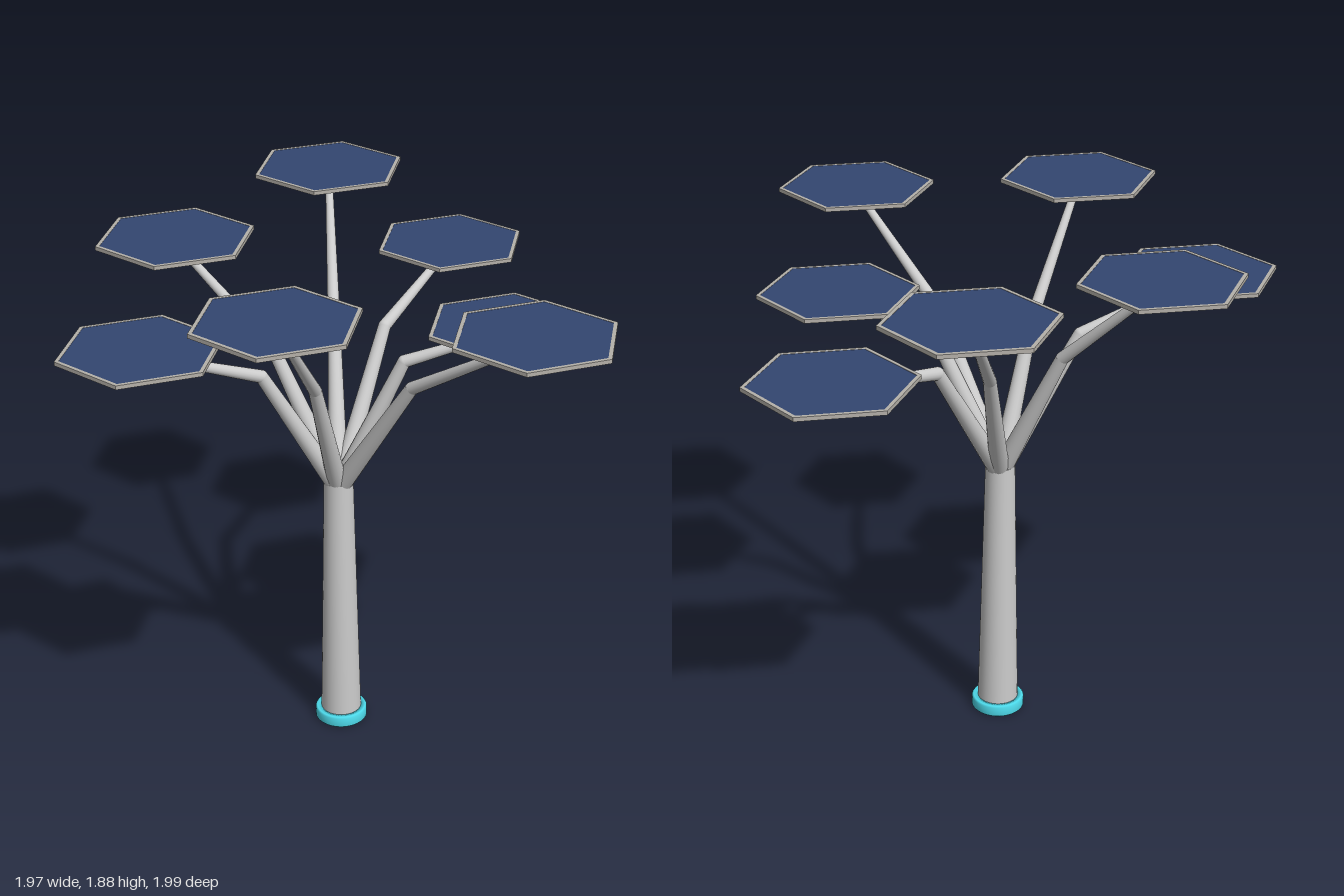
import * as THREE from 'three';

const CX = -0.095, CZ = -0.134; // trunk axis

// Hexagon outline with points towards +z and -z
function hexPoints(r) {
  return Array.from({ length: 6 }, (_, i) => {
    const a = Math.PI / 6 + (i * Math.PI) / 3;
    return new THREE.Vector2(r * Math.cos(a), r * Math.sin(a));
  });
}

// Flat horizontal extrusion centred on y = 0
function flatExtrude(shape, depth) {
  return new THREE.ExtrudeGeometry(shape, { depth, bevelEnabled: false })
    .translate(0, 0, -depth / 2)
    .rotateX(-Math.PI / 2);
}

// Tapered round bar from a to b
function bar(a, b, ra, rb, material) {
  const dir = b.clone().sub(a);
  const mesh = new THREE.Mesh(new THREE.CylinderGeometry(rb, ra, dir.length(), 16), material);
  mesh.position.copy(a).addScaledVector(dir, 0.5);
  mesh.quaternion.setFromUnitVectors(new THREE.Vector3(0, 1, 0), dir.normalize());
  return mesh;
}

export function createModel() {
  const model = new THREE.Group();
  model.name = 'solarTree';
  const grey = new THREE.MeshStandardMaterial({ color: 0xcccccc });
  const cyan = new THREE.MeshStandardMaterial({ color: 0x4fdff0 });
  const navy = new THREE.MeshStandardMaterial({ color: 0x334670 });
  const rim = new THREE.MeshStandardMaterial({ color: 0xb5b1aa });

  const add = (parent, name, mesh) => {
    mesh.name = name;
    parent.add(mesh);
    return mesh;
  };

  // Trunk
  const trunk = add(model, 'trunk', new THREE.Mesh(new THREE.CylinderGeometry(0.053, 0.075, 0.99, 32), grey));
  trunk.position.set(CX, 0.505, CZ);

  // Base ring, slightly softened at its outer edges
  const ringProfile = [
    [0.074, 0], [0.09, 0], [0.096, 0.006], [0.096, 0.039], [0.09, 0.045], [0.07, 0.045], [0.074, 0],
  ].map(([x, y]) => new THREE.Vector2(x, y));
  const ring = add(model, 'baseRing', new THREE.Mesh(new THREE.LatheGeometry(ringProfile, 40), cyan));
  ring.position.set(CX, 0, CZ);

  // Shared panel and frame geometry
  const panelGeometry = flatExtrude(new THREE.Shape(hexPoints(0.269)), 0.012);
  const frameShape = new THREE.Shape(hexPoints(0.283));
  frameShape.holes.push(new THREE.Path(hexPoints(0.268).reverse()));
  const frameGeometry = flatExtrude(frameShape, 0.014);

  // Panel centres: x, y, z
  const centres = [
    [-0.267, 1.822, -0.714],
    [0.503, 1.875, -0.68],
    [0.737, 1.607, -0.29],
    [0.257, 1.6, 0.32],
    [-0.12, 1.8, 0.706],
    [-0.668, 1.87, 0.116],
    [-0.742, 1.647, -0.42],
  ];

  // One bent branch carrying one hexagonal panel each
  for (const [x, y, z] of centres) {
    const branch = new THREE.Group();
    branch.name = 'branch';
    const root = new THREE.Vector3(CX, 0.97, CZ);
    const tip = new THREE.Vector3(x, y - 0.018, z);
    const elbow = root.clone().lerp(tip, 0.4).setY(1.465);
    add(branch, 'lowerBranch', bar(root, elbow, 0.036, 0.023, grey));
    add(branch, 'upperBranch', bar(elbow, tip, 0.023, 0.013, grey));
    add(branch, 'elbow', new THREE.Mesh(new THREE.SphereGeometry(0.023, 16, 12), grey)).position.copy(elbow);
    add(branch, 'solarPanel', new THREE.Mesh(panelGeometry, navy)).position.set(x, y, z);
    add(branch, 'panelFrame', new THREE.Mesh(frameGeometry, rim)).position.set(x, y, z);
    model.add(branch);
  }
  return model;
}
